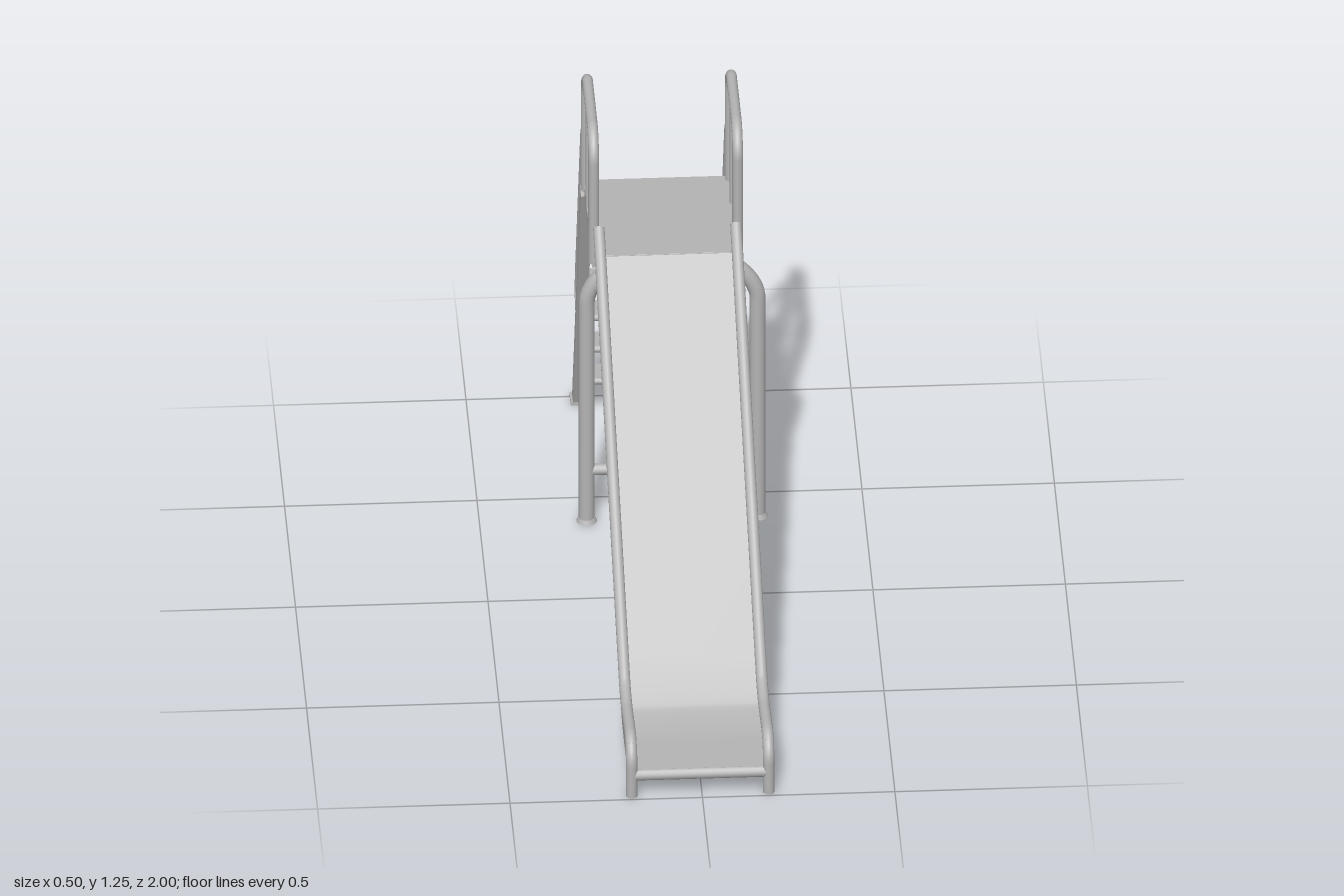
import * as THREE from 'three';
import { toCreasedNormals } from 'three/addons/utils/BufferGeometryUtils.js';

const steel = new THREE.MeshStandardMaterial({ color: 0xb4b4b4 });
steel.name = 'grey steel';

const V = (x, y, z) => new THREE.Vector3(x, y, z);

// Path through straight runs with rounded corners
function roundPath(pts, r) {
  const path = new THREE.CurvePath();
  let from = pts[0];
  for (let i = 1; i < pts.length - 1; i++) {
    const p = pts[i];
    const cut = q => p.clone().add(q.clone().sub(p).setLength(Math.min(r, p.distanceTo(q) * 0.48)));
    const a = cut(pts[i - 1]), b = cut(pts[i + 1]);
    const mid = q => p.clone().lerp(q, 0.55);
    path.add(new THREE.LineCurve3(from, a));
    path.add(new THREE.CubicBezierCurve3(a, mid(a).lerp(p, 0), mid(b), b));
    from = b;
  }
  path.add(new THREE.LineCurve3(from, pts[pts.length - 1]));
  return path;
}

const tube = (pts, r, bend, seg = 90) => new THREE.TubeGeometry(roundPath(pts, bend), seg, r, 14);

// Side profile given as [z, y], extruded across x
function sideExtrude(lower, upper, width, x) {
  const line = p => roundPath(p.map(([z, y]) => V(z, y, 0)), 0.09).getPoints(8);
  const outline = [...line(lower), ...line(upper).reverse()].map(p => new THREE.Vector2(p.x, p.y));
  const geo = new THREE.ExtrudeGeometry(new THREE.Shape(outline), { depth: width, bevelEnabled: false });
  geo.translate(0, 0, -width / 2).rotateY(-Math.PI / 2).translate(x, 0, 0);
  return toCreasedNormals(geo, 0.5);
}

// The chute leans slightly sideways toward the platform
function lean(geo) {
  const p = geo.attributes.position;
  for (let i = 0; i < p.count; i++) p.setX(i, p.getX(i) - 0.005 - 0.012 * (0.98 - p.getZ(i)));
  return geo;
}

export function createModel() {
  const model = new THREE.Group();
  model.name = 'playgroundSlide';
  const add = (name, geo, x = 0, y = 0, z = 0, parent = model) => {
    const mesh = new THREE.Mesh(geo, steel);
    mesh.name = name;
    mesh.position.set(x, y, z);
    parent.add(mesh);
    return mesh;
  };

  // Chute: thick bed, side walls and rolled rails
  const bedLow = [[0.985, 0.047], [0.75, 0.047], [0.68, 0.085], [-0.25, 0.84]];
  const bedTop = [[0.985, 0.078], [0.76, 0.08], [0.68, 0.13], [-0.25, 0.885]];
  const railLine = [[0.985, 0.155], [0.755, 0.155], [0.68, 0.215], [-0.25, 0.97]];
  add('chuteBed', lean(sideExtrude(bedLow, bedTop, 0.35, 0)));
  add('chuteLip', lean(new THREE.CylinderGeometry(0.016, 0.016, 0.36, 14).rotateZ(Math.PI / 2).translate(0, 0.062, 0.982)));
  for (const s of [-1, 1]) {
    const x = s * 0.178;
    const wallTop = [[0.97, 0.15], ...railLine.slice(1)];
    add('chuteWall', lean(sideExtrude(bedLow, wallTop, 0.014, x)));
    const rail = [V(x, 0.006, 0.985), ...railLine.map(([z, y]) => V(x, y, z))];
    add('chuteRail', lean(tube(rail, 0.015, 0.06, 120)));
    add('chuteFoot', lean(new THREE.CylinderGeometry(0.015, 0.015, 0.012, 14).translate(x, 0.006, 0.985)));
  }

  // Platform, guard rails, ladder and hand rails share a centre line
  const upper = new THREE.Group();
  upper.name = 'platformAndLadder';
  upper.position.x = -0.023;
  model.add(upper);
  const put = (name, geo, x, y, z) => add(name, geo, x, y, z, upper);

  put('platform', new THREE.BoxGeometry(0.385, 0.033, 0.38), 0, 0.868, -0.438);

  const ladderTop = V(0, 0.865, -0.605), ladderFoot = V(0, 0.004, -0.972);
  const ladderDir = ladderTop.clone().sub(ladderFoot);
  const ladderAngle = Math.atan2(ladderDir.z, ladderDir.y);
  const ladderZ = y => ladderFoot.z + ladderDir.z * (y - ladderFoot.y) / ladderDir.y;

  for (const s of [-1, 1]) {
    const x = s * 0.187;
    // Guard hoop with two bars
    put('guardHoop', tube([V(x, 0.86, -0.262), V(x, 1.235, -0.262), V(x, 1.235, -0.613), V(x, 0.86, -0.613)], 0.014, 0.07));
    for (const z of [-0.377, -0.495])
      put('guardBar', new THREE.CylinderGeometry(0.008, 0.008, 0.36, 12), x, 1.055, z);

    // Ladder stringer and foot pad
    const stringer = put('ladderStringer', new THREE.BoxGeometry(0.03, ladderDir.length(), 0.036),
      x, (ladderTop.y + ladderFoot.y) / 2, (ladderTop.z + ladderFoot.z) / 2);
    stringer.rotation.x = ladderAngle;
    put('ladderFoot', new THREE.BoxGeometry(0.042, 0.01, 0.05), x, 0.005, -0.975);

    // Looped hand rail
    put('handRail', tube([V(x, 1.02, -0.613), V(x, 1.02, -0.69), V(x, 0.37, -0.965),
      V(x, 0.31, -0.965), V(x, 0.265, -0.865)], 0.01, 0.06, 120));
  }

  // Ladder treads with folded edges
  for (const y of [0.77, 0.637, 0.505, 0.375, 0.245, 0.113]) {
    const tread = new THREE.Group();
    tread.name = 'ladderTread';
    tread.position.set(0, y, ladderZ(y));
    upper.add(tread);
    add('treadPlate', new THREE.BoxGeometry(0.352, 0.012, 0.07), 0, 0, 0, tread);
    for (const s of [-1, 1])
      add('treadEdge', new THREE.CylinderGeometry(0.01, 0.01, 0.352, 12).rotateZ(Math.PI / 2), 0, -0.004, s * 0.033, tread);
    add('treadBrace', new THREE.BoxGeometry(0.352, 0.022, 0.016), 0, -0.014, -0.012, tread);
  }

  // Support frame under the platform
  const legX = 0.222, legZ = -0.38;
  add('supportArch', tube([V(-legX, 0, legZ), V(-legX, 0.795, legZ), V(legX, 0.795, legZ), V(legX, 0, legZ)], 0.021, 0.13, 120));
  add('supportCrossbar', new THREE.CylinderGeometry(0.015, 0.015, legX * 2, 14).rotateZ(Math.PI / 2), 0, 0.155, legZ);
  for (const s of [-1, 1]) {
    add('supportFoot', new THREE.CylinderGeometry(0.022, 0.027, 0.012, 16), s * legX, 0.006, legZ);
    add('supportStem', new THREE.CylinderGeometry(0.011, 0.011, 0.07, 12), s * 0.1 - 0.02, 0.825, legZ);
  }

  return model;
}
